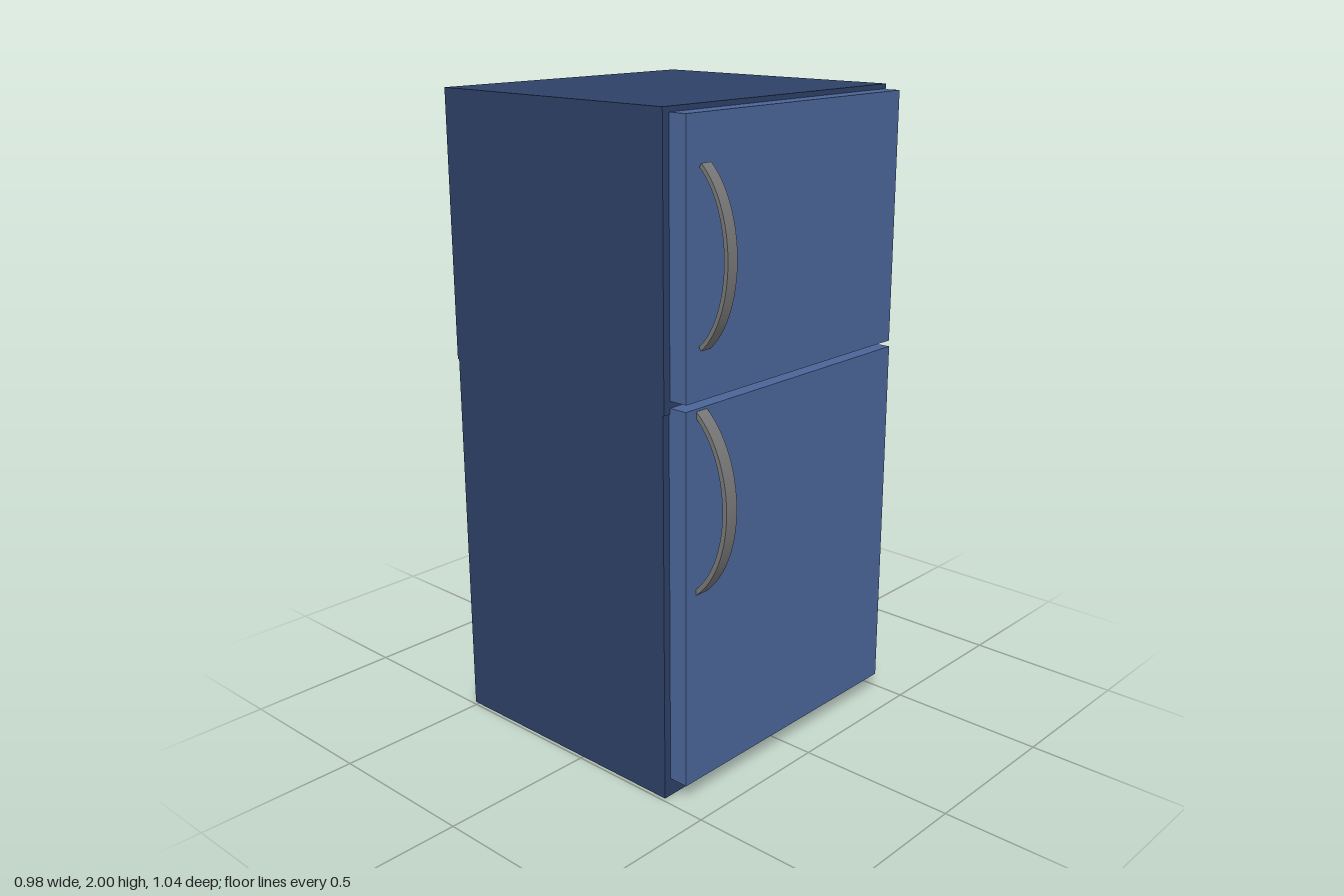
import * as THREE from 'three';
import { toCreasedNormals } from 'three/addons/utils/BufferGeometryUtils.js';

const cabinetMat = new THREE.MeshStandardMaterial({ color: 0x2d4066 });
const doorMat = new THREE.MeshStandardMaterial({ color: 0x4a6598 });
const handleMat = new THREE.MeshStandardMaterial({ color: 0x777777 });

// Box given by its extents on each axis
function box(name, mat, [x0, x1], [y0, y1], [z0, z1]) {
  const mesh = new THREE.Mesh(new THREE.BoxGeometry(x1 - x0, y1 - y0, z1 - z0), mat);
  mesh.position.set((x0 + x1) / 2, (y0 + y1) / 2, (z0 + z1) / 2);
  mesh.name = name;
  return mesh;
}

// Bowed flat strip: an elliptical arc band in the z-y plane, extruded across x
function bowHandle(name, [x0, x1], [y0, y1], zEnd, zOut, thick) {
  const angle = Math.PI / 3;
  const b = (y1 - y0) / 2 / Math.sin(angle);
  const a = (zOut - zEnd) / (1 - Math.cos(angle));
  const shape = new THREE.Shape();
  shape.absellipse(0, 0, a, b, -angle, angle, false);
  shape.absellipse(0, 0, a - thick, b - thick, angle, -angle, true);
  shape.closePath();
  const geo = new THREE.ExtrudeGeometry(shape, { depth: x1 - x0, bevelEnabled: false, curveSegments: 24 });
  geo.rotateY(-Math.PI / 2); // shape x becomes z, depth runs towards -x
  geo.translate(x1, (y0 + y1) / 2, zOut - a);
  const mesh = new THREE.Mesh(toCreasedNormals(geo, 0.6), handleMat);
  mesh.name = name;
  return mesh;
}

export function createModel() {
  const group = new THREE.Group();
  group.name = 'refrigerator';

  // Cabinet: the upper part sits slightly proud at the back
  const width = [-0.489, 0.488];
  group.add(box('lowerCabinet', cabinetMat, width, [0, 1.18], [-0.516, 0.348]));
  group.add(box('upperCabinet', cabinetMat, width, [1.18, 2], [-0.522, 0.352]));

  // Doors
  group.add(box('freezerDoor', doorMat, [-0.465, 0.475], [1.217, 1.985], [0.35, 0.411]));
  group.add(box('fridgeDoor', doorMat, [-0.465, 0.479], [0.056, 1.197], [0.346, 0.41]));

  // Handles
  group.add(bowHandle('freezerHandle', [-0.42, -0.382], [1.36, 1.858], 0.423, 0.516, 0.013));
  group.add(bowHandle('fridgeHandle', [-0.423, -0.38], [0.646, 1.192], 0.407, 0.521, 0.015));
  return group;
}
